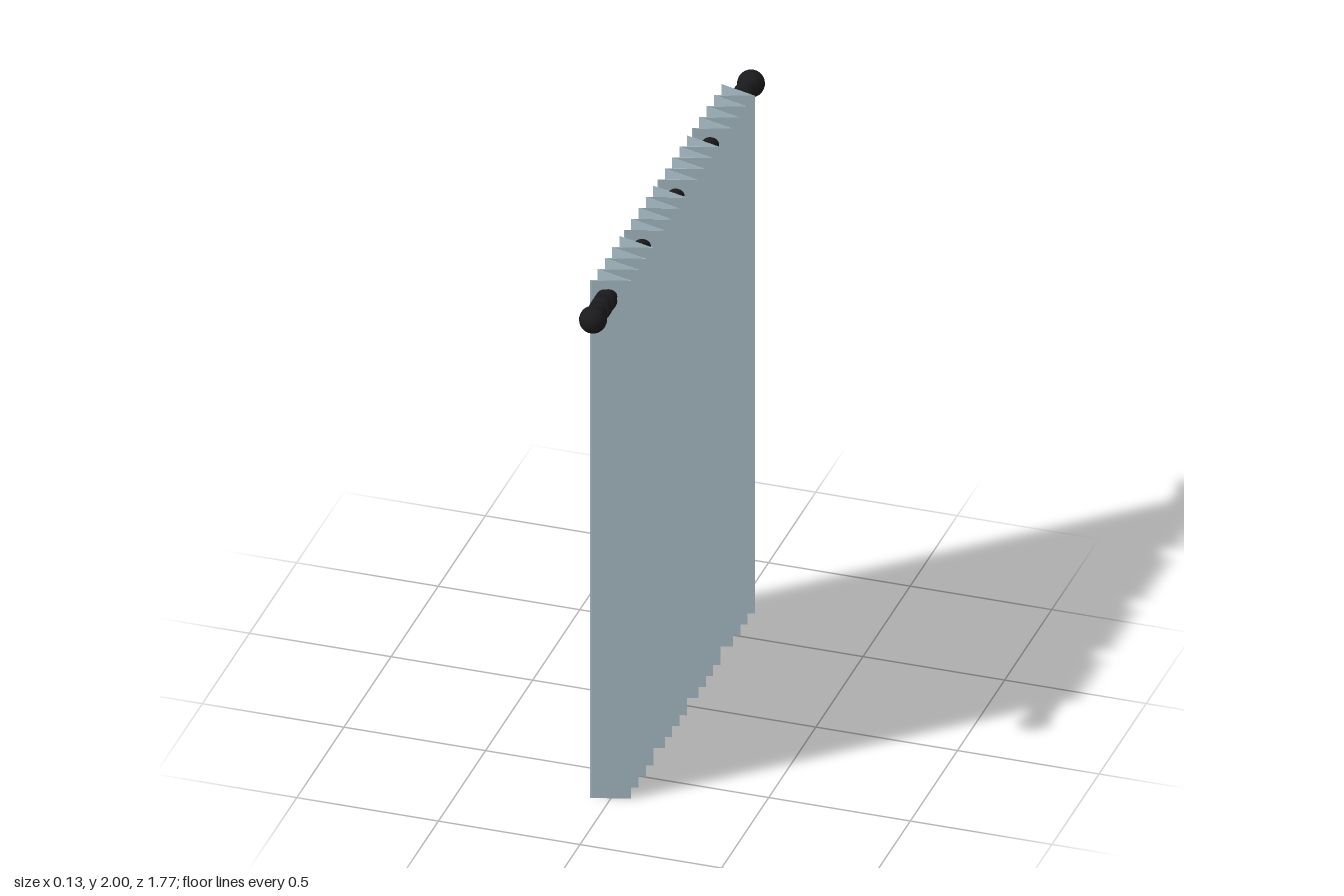
import * as THREE from 'three';

const ROD_X = -0.008, ROD_Y = 1.938;

export function createModel() {
  const model = new THREE.Group();
  model.name = 'curtainOnRod';
  const fabric = new THREE.MeshStandardMaterial({ color: 0xa8bdc6 });
  fabric.name = 'greyBlueFabric';
  const iron = new THREE.MeshStandardMaterial({ color: 0x1b1b1d });
  iron.name = 'blackIron';

  const add = (parent, name, geometry, material, x, y, z) => {
    const mesh = new THREE.Mesh(geometry, material);
    mesh.name = name;
    mesh.position.set(x, y, z);
    parent.add(mesh);
  };

  // Pleated panel: a thin zigzag strip, thickened across the pleats, extruded to full height
  const folds = 8, halfWidth = 0.156, thin = 0.002;
  const right = [], left = [];
  for (let i = 0; i <= folds; i++) {
    const x = i % 2 ? 0.063 : -0.065;
    const z = -halfWidth + (2 * halfWidth * i) / folds;
    right.push(new THREE.Vector2(x + thin, z));
    left.unshift(new THREE.Vector2(x - thin, z));
  }
  const panel = new THREE.ExtrudeGeometry(new THREE.Shape([...right, ...left]), {
    depth: 2, bevelEnabled: false,
  });
  panel.rotateX(-Math.PI / 2);
  [0.535, 0.178, -0.179, -0.544].forEach((z, i) =>
    add(model, `curtainPanel${i + 1}`, panel, fabric, 0, 0, z));

  // Rod running through the pleats
  const rod = new THREE.CylinderGeometry(0.0285, 0.0285, 1.66, 24).rotateX(Math.PI / 2);
  add(model, 'rod', rod, iron, ROD_X, ROD_Y, 0);

  // Finials: two collars with softened rims and a ball at each end
  const collarProfile = [[0.027, -0.018], [0.035, -0.018], [0.038, -0.013],
    [0.038, 0.013], [0.035, 0.018], [0.027, 0.018]].map(([r, h]) => new THREE.Vector2(r, h));
  const collar = new THREE.LatheGeometry(collarProfile, 24).rotateX(Math.PI / 2);
  const ball = new THREE.SphereGeometry(0.047, 24, 16);
  for (const side of [1, -1]) {
    const finial = new THREE.Group();
    finial.name = side > 0 ? 'frontFinial' : 'backFinial';
    add(finial, 'innerCollar', collar, iron, ROD_X, ROD_Y, side * 0.707);
    add(finial, 'outerCollar', collar, iron, ROD_X, ROD_Y, side * 0.757);
    add(finial, 'ball', ball, iron, ROD_X, ROD_Y, side * 0.838);
    model.add(finial);
  }
  return model;
}
